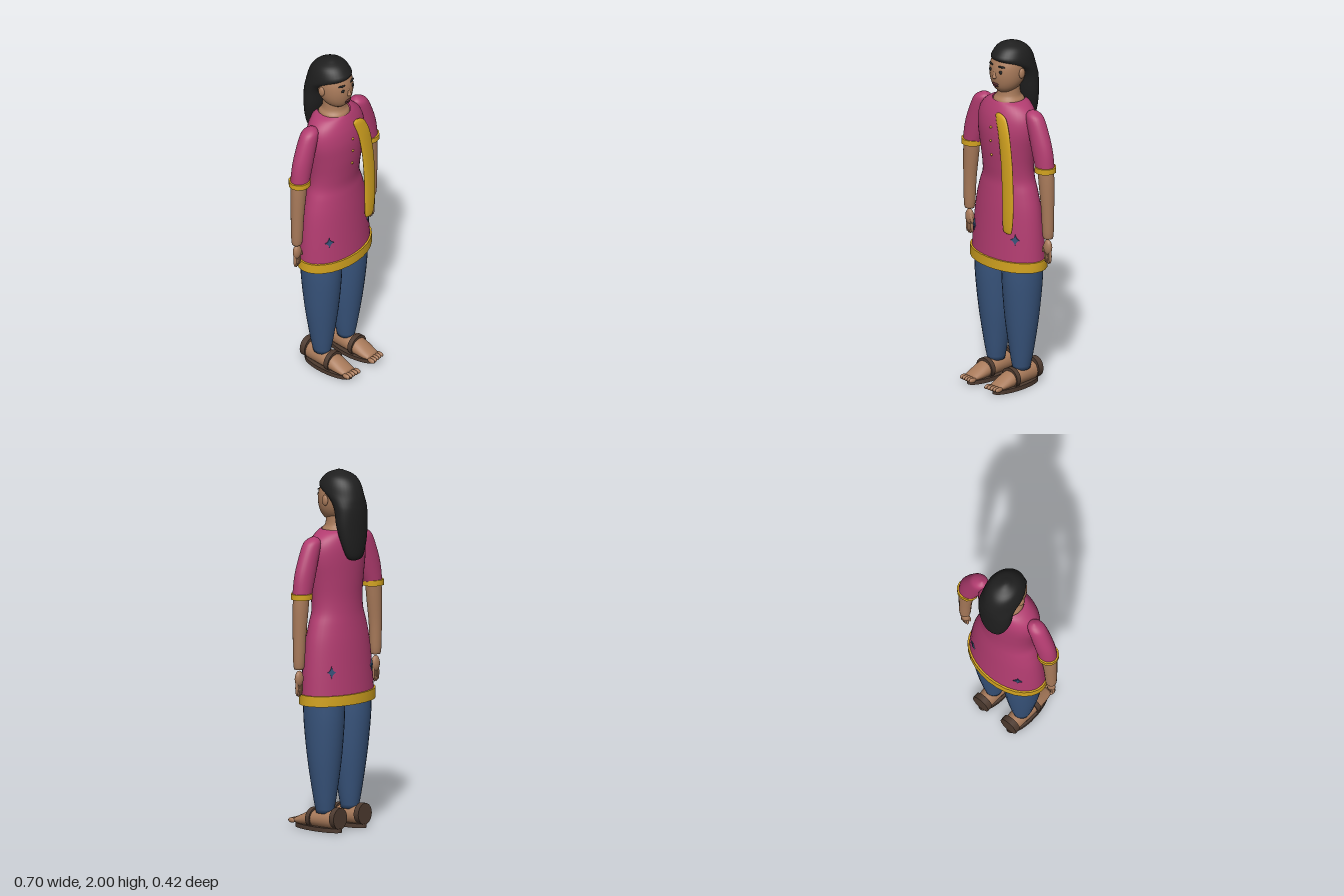
import * as THREE from 'three';
import { toCreasedNormals } from 'three/addons/utils/BufferGeometryUtils.js';

const material = (name, color, side = THREE.FrontSide) =>
  Object.assign(new THREE.MeshStandardMaterial({ color, side }), { name });
const M = {
  pink: material('tunic pink', 0xb23c70, THREE.DoubleSide),
  gold: material('trim gold', 0xd4a420),
  blue: material('trouser blue', 0x38547c, THREE.DoubleSide),
  skin: material('skin', 0xa87a5a),
  hair: material('hair black', 0x1f1f1f),
  brown: material('sandal brown', 0x4e3b30),
  lips: material('lips', 0x54282a),
};

// Ellipse rings [x, y, z, halfWidth, halfDepth, tilt]; axis 'y' goes upwards,
// axis 'z' goes from front to back. Rings are joined into one skin.
function loft(rows, { sides = 28, steps = 4, caps = true, axis = 'y' } = {}) {
  let rings = rows.map(r => [...r, 0].slice(0, 6));
  if (steps > 1) {
    const curve = k => new THREE.CatmullRomCurve3(
      rings.map(r => new THREE.Vector3(...r.slice(k, k + 3))), false, 'catmullrom');
    const centre = curve(0), size = curve(3), n = (rings.length - 1) * steps;
    rings = Array.from({ length: n + 1 }, (_, i) =>
      [...centre.getPoint(i / n).toArray(), ...size.getPoint(i / n).toArray()]);
  }
  const pos = [], idx = [];
  for (const [x, y, z, a, b, tilt] of rings) {
    for (let j = 0; j < sides; j++) {
      const t = j / sides * Math.PI * 2, u = a * Math.cos(t), v = b * Math.sin(t);
      if (axis === 'y') pos.push(x + u, y + v * tilt, z + v);
      else pos.push(x + u, y + v, z);
    }
  }
  for (let i = 0; i < rings.length - 1; i++) {
    for (let j = 0; j < sides; j++) {
      const p = i * sides + j, q = i * sides + (j + 1) % sides;
      idx.push(p, p + sides, q, q, p + sides, q + sides);
    }
  }
  if (caps) {
    const end = (rings.length - 1) * sides, c = pos.length / 3;
    pos.push(...rings[0].slice(0, 3), ...rings[rings.length - 1].slice(0, 3));
    for (let j = 0; j < sides; j++) {
      const k = (j + 1) % sides;
      idx.push(c, j, k, c + 1, end + k, end + j);
    }
  }
  const g = new THREE.BufferGeometry();
  g.setAttribute('position', new THREE.Float32BufferAttribute(pos, 3));
  g.setIndex(idx);
  g.computeVertexNormals();
  return g;
}

// Thin-walled elliptical ring with crisp edges
function band(x, y0, y1, z, a, b, wall, sides) {
  const rows = [[x, y0, z, a, b], [x, y1, z, a, b], [x, y1, z, a - wall, b - wall],
    [x, y0, z, a - wall, b - wall], [x, y0, z, a, b]];
  return toCreasedNormals(loft(rows, { sides, steps: 1, caps: false }), 0.9);
}

export function createModel() {
  const model = new THREE.Group();
  const add = (name, geo, mat, x = 0, y = 0, z = 0) => {
    const m = new THREE.Mesh(geo, mat);
    m.name = name;
    m.position.set(x, y, z);
    model.add(m);
    return m;
  };
  const ball = (name, mat, x, y, z, rx, ry, rz) => {
    const m = add(name, new THREE.SphereGeometry(1, 20, 14), mat, x, y, z);
    m.scale.set(rx, ry, rz);
    return m;
  };
  const Z = -0.035;

  // Tunic with gold hem
  add('tunic', loft([
    [0, 0.73, Z, 0.248, 0.155], [0, 0.9, Z, 0.236, 0.142], [0, 1.05, Z, 0.218, 0.13],
    [0, 1.15, Z, 0.193, 0.12], [0, 1.22, Z, 0.169, 0.114], [0, 1.3, -0.03, 0.166, 0.117],
    [0, 1.4, -0.026, 0.178, 0.124], [0, 1.5, -0.025, 0.194, 0.127], [0, 1.57, -0.028, 0.192, 0.122],
    [0, 1.62, -0.032, 0.17, 0.112], [0, 1.655, Z, 0.13, 0.1], [0, 1.672, Z, 0.09, 0.09],
  ], { sides: 40, caps: false }), M.pink);
  add('hem', band(0, 0.712, 0.77, Z, 0.256, 0.163, 0.012, 28), M.gold);
  for (const y of [1.53, 1.45, 1.365]) ball('button', M.gold, 0, y, y > 1.4 ? 0.1 : 0.094, 0.007, 0.007, 0.009);

  // Four-pointed motifs following the skirt
  const star = new THREE.Shape();
  star.moveTo(0, 0.034);
  star.quadraticCurveTo(0.005, 0.007, 0.025, 0);
  star.quadraticCurveTo(0.005, -0.007, 0, -0.034);
  star.quadraticCurveTo(-0.005, -0.007, -0.025, 0);
  star.quadraticCurveTo(-0.005, 0.007, 0, 0.034);
  for (const sx of [-1, 1]) for (const sz of [-1, 1]) {
    const m = add('skirtMotif', new THREE.ExtrudeGeometry(star, { depth: 0.006, bevelEnabled: false, curveSegments: 5 }),
      M.blue, sx * 0.16, 0.9, Z + sz * 0.104);
    m.rotation.y = Math.atan2(sx * 0.16 / 0.236 ** 2, sz * 0.104 / 0.142 ** 2);
  }

  // Scarf hanging over the left side of the chest
  add('scarf', loft([
    [0.135, 0.938, 0.102, 0.012, 0.004], [0.134, 0.955, 0.103, 0.033, 0.01], [0.138, 1.05, 0.104, 0.041, 0.013],
    [0.137, 1.18, 0.104, 0.043, 0.013], [0.126, 1.35, 0.102, 0.044, 0.013], [0.102, 1.5, 0.098, 0.044, 0.013],
    [0.075, 1.58, 0.09, 0.043, 0.012], [0.058, 1.61, 0.085, 0.034, 0.01], [0.048, 1.622, 0.083, 0.01, 0.004],
  ], { sides: 20 }), M.gold);

  // Neck and head
  add('neck', loft([[0, 1.64, Z, 0.09, 0.085], [0, 1.672, Z, 0.084, 0.084], [0, 1.7, Z, 0.066, 0.064],
    [0, 1.78, Z, 0.06, 0.058]]), M.skin);
  add('head', loft([
    [0, 1.712, -0.01, 0.012, 0.016], [0, 1.722, -0.012, 0.04, 0.045], [0, 1.75, -0.018, 0.07, 0.076],
    [0, 1.79, -0.024, 0.091, 0.095], [0, 1.84, -0.03, 0.1, 0.105], [0, 1.89, -0.034, 0.097, 0.099],
    [0, 1.94, -0.04, 0.075, 0.075], [0, 1.97, -0.045, 0.02, 0.02],
  ]), M.skin);
  add('nose', loft([[0, 1.808, 0.072, 0.005, 0.006], [0, 1.816, 0.074, 0.014, 0.013],
    [0, 1.835, 0.071, 0.009, 0.01], [0, 1.865, 0.066, 0.005, 0.005]], { sides: 14 }), M.skin);
  ball('upperLip', M.lips, 0, 1.776, 0.068, 0.023, 0.007, 0.008);
  ball('lowerLip', M.lips, 0, 1.764, 0.064, 0.019, 0.007, 0.009);

  // Long hair: tilted rings sweep from the tips up to the crown
  const lock = (zf, yf, zb, yb, w) => [0, (yf + yb) / 2, (zf + zb) / 2, w, (zf - zb) / 2, (yf - yb) / (zf - zb)];
  add('hair', loft([
    lock(-0.155, 1.506, -0.17, 1.506, 0.012), lock(-0.135, 1.525, -0.195, 1.525, 0.055),
    lock(-0.11, 1.6, -0.205, 1.6, 0.086), lock(-0.08, 1.7, -0.208, 1.7, 0.106),
    lock(-0.06, 1.8, -0.208, 1.78, 0.108), lock(-0.02, 1.855, -0.205, 1.82, 0.108),
    lock(0.062, 1.913, -0.2, 1.86, 0.109), lock(0.052, 1.947, -0.18, 1.92, 0.098),
    lock(0.015, 1.98, -0.143, 1.965, 0.072), lock(-0.035, 1.999, -0.075, 1.998, 0.016),
  ], { sides: 36 }), M.hair);

  for (const s of [-1, 1]) {
    // Face details and ears
    ball('eye', M.hair, s * 0.04, 1.853, 0.065, 0.011, 0.01, 0.006);
    const brow = ball('eyebrow', M.hair, s * 0.041, 1.883, 0.058, 0.022, 0.005, 0.008);
    brow.rotation.y = s * 0.3;
    ball('ear', M.skin, s * 0.102, 1.838, -0.037, 0.012, 0.03, 0.02);

    // Sleeve, cuff and forearm
    add('sleeve', loft([
      [s * 0.287, 1.325, Z, 0.056, 0.05], [s * 0.266, 1.42, Z, 0.066, 0.051], [s * 0.244, 1.5, Z, 0.065, 0.051],
      [s * 0.21, 1.6, Z, 0.055, 0.048], [s * 0.195, 1.633, Z, 0.037, 0.034], [s * 0.188, 1.648, Z, 0.006, 0.006],
    ]), M.pink);
    add('cuff', band(s * 0.288, 1.315, 1.346, Z, 0.063, 0.06, 0.014, 12), M.gold);
    add('forearm', loft([
      [s * 0.31, 0.932, Z, 0.012, 0.012], [s * 0.31, 0.94, Z, 0.031, 0.029], [s * 0.307, 1.1, Z, 0.037, 0.036],
      [s * 0.298, 1.25, Z, 0.046, 0.042], [s * 0.29, 1.34, Z, 0.048, 0.043],
    ], { sides: 20 }), M.skin);

    // Hand
    ball('palm', M.skin, s * 0.309, 0.873, Z, 0.028, 0.045, 0.02);
    for (let i = 0; i < 4; i++)
      ball('finger', M.skin, s * (0.291 + i * 0.012), 0.815 + (i === 0 || i === 3 ? 0.007 : 0), Z, 0.0075, 0.042, 0.01);
    const thumb = ball('thumb', M.skin, s * 0.286, 0.865, Z + 0.008, 0.008, 0.03, 0.009);
    thumb.rotation.z = -s * 0.3;

    // Trouser leg
    add('trouserLeg', loft([
      [s * 0.1, 0.1, Z, 0.047, 0.05], [s * 0.101, 0.2, Z, 0.066, 0.067], [s * 0.103, 0.4, Z, 0.094, 0.095],
      [s * 0.106, 0.6, Z, 0.107, 0.116], [s * 0.107, 0.74, Z, 0.108, 0.122],
    ]), M.blue);

    // Foot, toes and sandal
    const foot = s * 0.1;
    add('foot', loft([
      [foot, 0.037, 0.165, 0.042, 0.016], [foot, 0.045, 0.12, 0.051, 0.03], [foot, 0.059, 0.05, 0.055, 0.046],
      [foot, 0.065, -0.05, 0.05, 0.052], [foot, 0.066, -0.14, 0.044, 0.05],
    ], { axis: 'z', sides: 24 }), M.skin);
    for (let i = 0; i < 5; i++)
      ball('toe', M.skin, foot + s * (i - 2) * 0.02, 0.036, 0.182 - 0.002 * i, 0.0115, 0.014, 0.025);
    const sole = ball('sole', M.brown, foot, 0.012, 0.012, 0.06, 0.012, 0.165);
    sole.geometry = new THREE.CylinderGeometry(1, 1, 2, 28);
    const strap = (name, y, z, rx, ry, depth) => {
      const m = add(name, new THREE.CylinderGeometry(1, 1, depth, 28), M.brown, foot, y, z);
      m.rotation.x = Math.PI / 2;
      m.scale.set(rx, 1, ry);
    };
    strap('footStrap', 0.062, 0.042, 0.062, 0.058, 0.028);
    strap('heelCup', 0.078, -0.132, 0.055, 0.06, 0.034);
  }
  return model;
}
